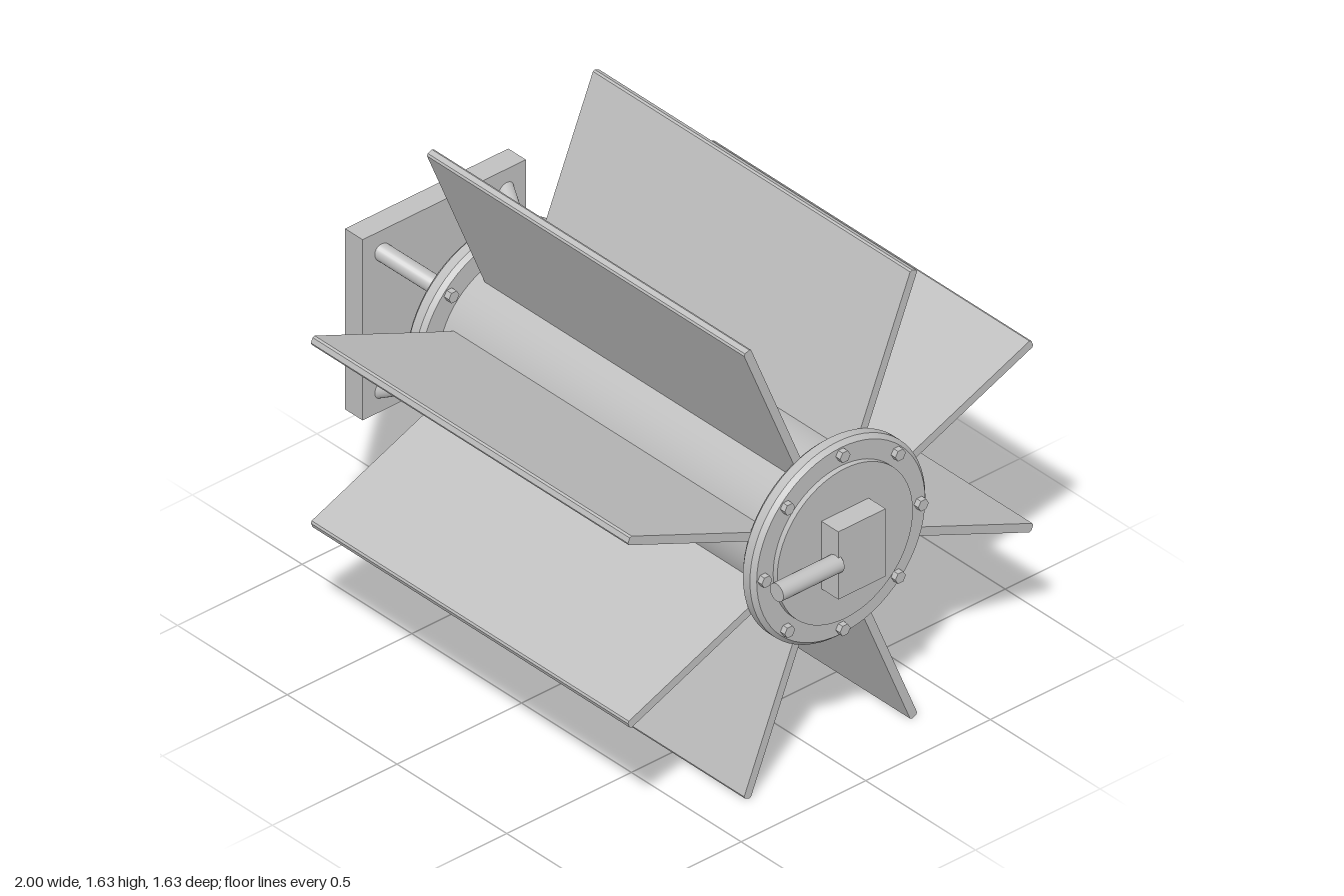
import * as THREE from 'three';
import { toCreasedNormals } from 'three/addons/utils/BufferGeometryUtils.js';

const AXIS_Y = 0.815;

export function createModel() {
  const model = new THREE.Group();
  model.name = 'finnedDrum';
  const steel = new THREE.MeshStandardMaterial({ color: 0xc0c0c0 });
  steel.name = 'light grey steel';

  // All parts hang on the horizontal drum axis, which runs along x
  const drum = new THREE.Group();
  drum.name = 'drum';
  drum.position.y = AXIS_Y;
  model.add(drum);

  const add = (name, geometry, x = 0, y = 0, z = 0) => {
    const mesh = new THREE.Mesh(geometry, steel);
    mesh.name = name;
    mesh.position.set(x, y, z);
    drum.add(mesh);
    return mesh;
  };

  // Turned part about x, from [x, radius] pairs
  const turned = (name, profile) => {
    const points = profile.map(([x, r]) => new THREE.Vector2(r, x));
    const geometry = new THREE.LatheGeometry(points, 64).rotateZ(-Math.PI / 2);
    return add(name, toCreasedNormals(geometry, 0.4));
  };

  // Round bar between two points
  const bar = (name, from, to, radius) => {
    const dir = to.clone().sub(from);
    const mesh = add(name, new THREE.CylinderGeometry(radius, radius, dir.length(), 24));
    mesh.position.copy(from).add(to).multiplyScalar(0.5);
    mesh.quaternion.setFromUnitVectors(new THREE.Vector3(0, 1, 0), dir.normalize());
    return mesh;
  };

  turned('barrel', [[-0.66, 0], [-0.66, 0.265], [0.84, 0.265], [0.84, 0]]);

  // End flanges with bevelled rims
  const flange = (name, x0, x1) => turned(name, [
    [x0, 0], [x0, 0.338], [x0 + 0.015, 0.352], [x1 - 0.015, 0.352], [x1, 0.338], [x1, 0],
  ]);
  flange('rearFlange', -0.708, -0.645);
  flange('driveFlange', 0.825, 0.887);
  turned('rearCap', [[-0.73, 0], [-0.73, 0.272], [-0.7, 0.272], [-0.7, 0]]);
  turned('driveCap', [[0.87, 0], [0.87, 0.272], [0.906, 0.272], [0.906, 0]]);

  // Hexagonal bolt heads
  const boltGeometry = new THREE.CylinderGeometry(0.021, 0.021, 0.03, 6)
    .toNonIndexed().rotateZ(-Math.PI / 2);
  boltGeometry.computeVertexNormals();
  for (let i = 0; i < 8; i++) {
    const a = (i * Math.PI) / 4;
    for (const [name, x] of [['rearBolt', -0.638], ['driveBolt', 0.892]]) {
      add(name, boltGeometry, x, 0.314 * Math.cos(a), 0.314 * Math.sin(a));
    }
  }

  // Eight radial fins with a chamfered tip
  const h = 0.015, c = 0.006, tip = 0.876;
  const section = new THREE.Shape([
    [-h, 0.24], [h, 0.24], [h, tip - c], [h - c, tip], [c - h, tip], [-h, tip - c],
  ].map(([x, y]) => new THREE.Vector2(x, y)));
  const finGeometry = new THREE.ExtrudeGeometry(section, { depth: 1.445, bevelEnabled: false })
    .rotateY(Math.PI / 2);
  for (let i = 0; i < 8; i++) {
    add('fin', finGeometry, -0.605).rotation.x = Math.PI / 8 + (i * Math.PI) / 4;
  }

  // Square mounting plate with four slanted struts
  add('mountingPlate', new THREE.BoxGeometry(0.08, 0.655, 0.655), -0.96);
  for (const sy of [-1, 1]) {
    for (const sz of [-1, 1]) {
      bar('strut', new THREE.Vector3(-0.94, sy * 0.255, sz * 0.255),
        new THREE.Vector3(-0.75, sy * 0.168, sz * 0.168), 0.03);
    }
  }

  // Drive block with its crank pin, and the small pad on the barrel
  add('driveBlock', new THREE.BoxGeometry(0.085, 0.245, 0.19), 0.9405);
  bar('crankPin', new THREE.Vector3(0.969, 0, 0.085), new THREE.Vector3(0.969, 0, 0.33), 0.031);
  add('barrelPad', new THREE.BoxGeometry(0.135, 0.195, 0.1), 0.117, 0, 0.245);

  return model;
}
